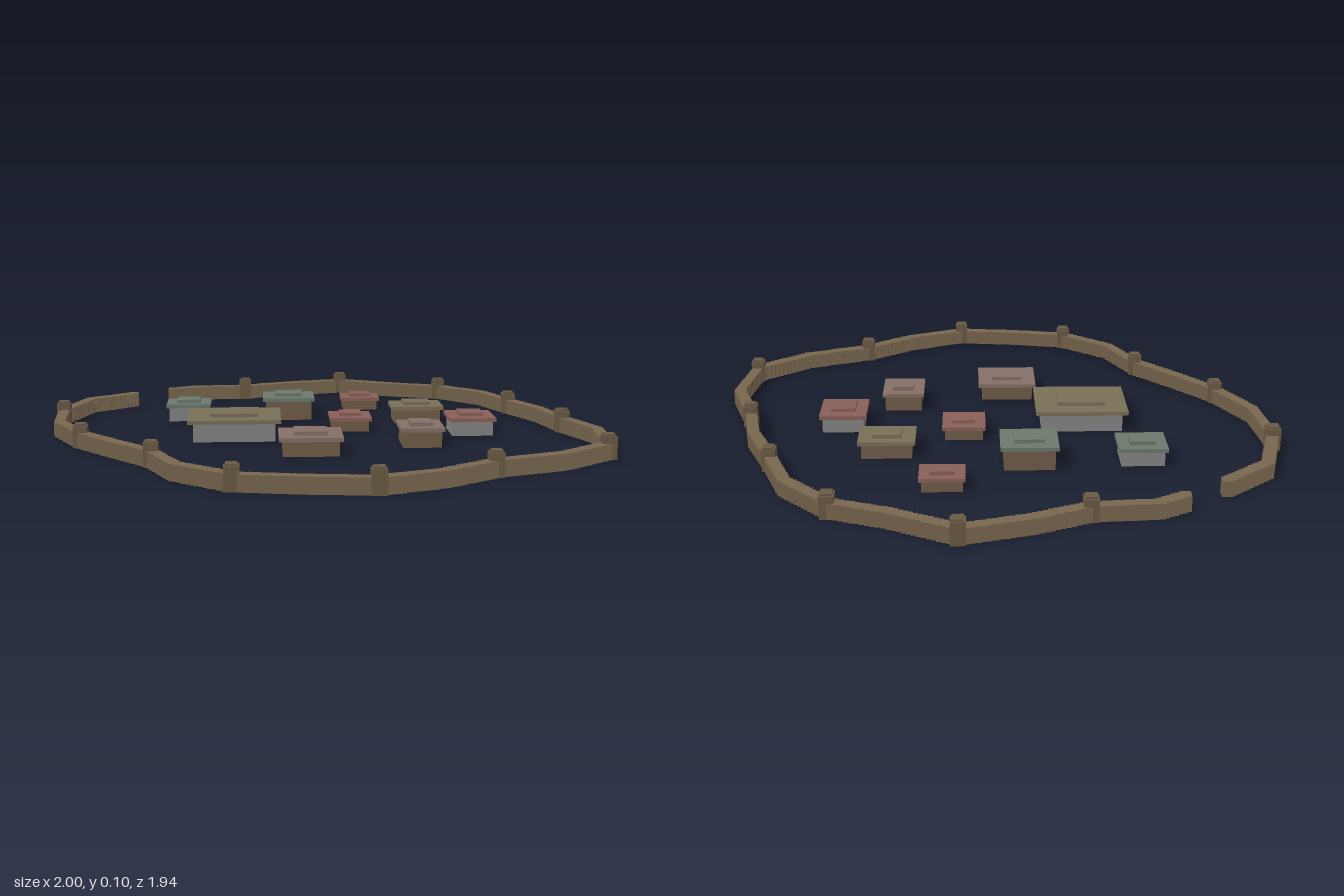
import * as THREE from 'three';

const material = (color) => new THREE.MeshStandardMaterial({ color, flatShading: true });
const WOOD = material(0x78674f), TOWER = material(0x6a5a45);
const BROWN = material(0x705d49), GREY = material(0x858585);
const GREEN = material(0x6c796c), RED = material(0x8a6158), OLIVE = material(0x7a7057), MAUVE = material(0x857068);

// Box standing with its underside at y
function block(parent, name, mat, w, h, d, x, y, z) {
  const mesh = new THREE.Mesh(new THREE.BoxGeometry(w, h, d), mat);
  mesh.name = name;
  mesh.position.set(x, y + h / 2, z);
  parent.add(mesh);
}

// Wall corners [x, z, hasTower], running from one side of the gate gap to the other
const corners = [
  [-0.59, -0.738], [-0.5, -0.79], [-0.285, -0.805, 1], [-0.1, -0.885], [0.13, -0.95, 1],
  [0.35, -0.835], [0.542, -0.765, 1], [0.7, -0.6], [0.775, -0.4, 1], [0.86, -0.2],
  [0.9, 0, 1], [0.977, 0.22], [0.945, 0.485, 1], [0.76, 0.635], [0.52, 0.73, 1],
  [0.34, 0.86], [0.13, 0.945, 1], [-0.1, 0.92], [-0.31, 0.88, 1], [-0.49, 0.73],
  [-0.58, 0.53, 1], [-0.72, 0.37], [-0.85, 0.212, 1], [-0.955, 0], [-0.975, -0.25, 1],
  [-0.905, -0.495], [-0.745, -0.63],
];

// Houses: x, z, roof width, roof depth, total height, roof material, wall material
const houses = [
  [-0.5, -0.335, 0.17, 0.15, 0.08, GREEN, GREY],
  [-0.11, -0.353, 0.2, 0.17, 0.1, GREEN, BROWN],
  [0.185, -0.543, 0.155, 0.12, 0.064, RED, BROWN],
  [0.383, -0.255, 0.2, 0.15, 0.078, OLIVE, BROWN],
  [0.115, -0.095, 0.155, 0.15, 0.066, RED, BROWN],
  [-0.315, 0.03, 0.335, 0.265, 0.094, OLIVE, GREY],
  [0.555, -0.003, 0.17, 0.175, 0.08, RED, GREY],
  [0.345, 0.205, 0.155, 0.17, 0.084, MAUVE, BROWN],
  [-0.05, 0.325, 0.22, 0.195, 0.08, MAUVE, BROWN],
];

export function createModel() {
  const model = new THREE.Group();
  model.name = 'walledVillage';

  // Palisade of closely spaced square posts
  const palisade = new THREE.Group();
  palisade.name = 'palisade';
  model.add(palisade);
  for (let i = 0; i < corners.length - 1; i++) {
    const [x0, z0] = corners[i], [x1, z1] = corners[i + 1];
    const steps = Math.round(Math.hypot(x1 - x0, z1 - z0) / 0.018);
    const last = i === corners.length - 2 ? steps : steps - 1;
    for (let k = 0; k <= last; k++) {
      const t = k / steps;
      block(palisade, 'wallPost', WOOD, 0.038, 0.055, 0.038, x0 + (x1 - x0) * t, 0, z0 + (z1 - z0) * t);
    }
  }

  // Watchtowers with a small cap
  for (const [x, z, hasTower] of corners) {
    if (!hasTower) continue;
    const tower = new THREE.Group();
    tower.name = 'watchtower';
    model.add(tower);
    block(tower, 'towerBody', TOWER, 0.049, 0.079, 0.049, x, 0, z);
    block(tower, 'towerCap', TOWER, 0.038, 0.008, 0.038, x, 0.079, z);
  }

  // Houses with a stepped two-tier roof
  for (const [x, z, w, d, h, roof, wall] of houses) {
    const house = new THREE.Group();
    house.name = 'house';
    model.add(house);
    const eaves = h - 0.027;
    block(house, 'houseWalls', wall, w * 0.88, eaves, d * 0.88, x, 0, z);
    block(house, 'roofLower', roof, w, 0.014, d, x, eaves, z);
    block(house, 'roofUpper', roof, w * 0.52, 0.013, d * 0.52, x, eaves + 0.014, z);
  }
  return model;
}
